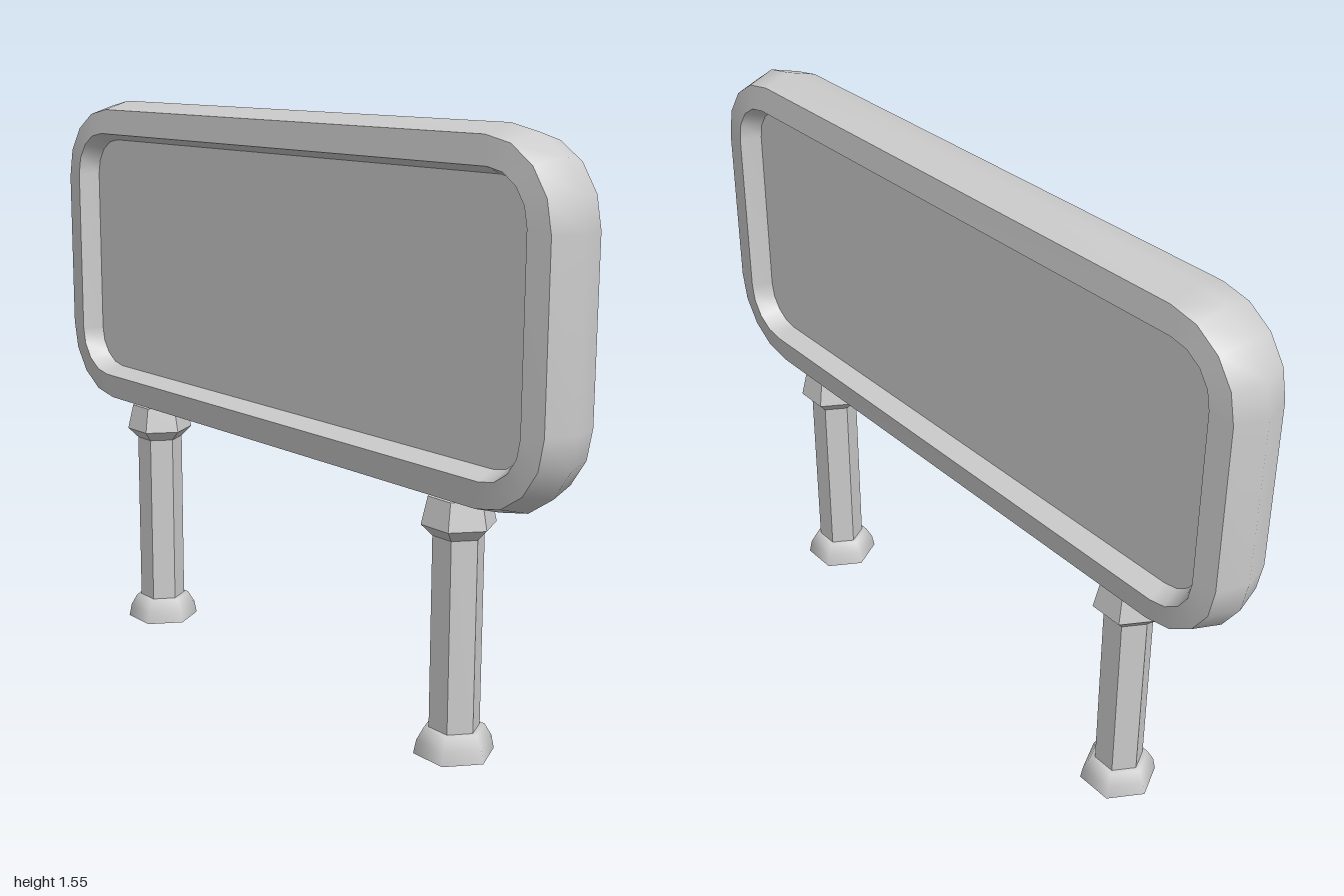
import * as THREE from 'three';

const grey = new THREE.MeshStandardMaterial({ color: 0xcccccc, side: THREE.DoubleSide });
grey.name = 'painted metal';

const CENTER_Y = 1.096;

// Counter-clockwise rounded rectangle, four facets per corner
function ring([hw, hh, r, z]) {
  const points = [];
  for (let corner = 0; corner < 4; corner++) {
    const cx = (corner === 0 || corner === 3 ? 1 : -1) * (hw - r);
    const cy = (corner < 2 ? 1 : -1) * (hh - r);
    for (let i = 0; i <= 4; i++) {
      const a = (corner + i / 4) * Math.PI / 2;
      points.push(new THREE.Vector3(cx + r * Math.cos(a), cy + r * Math.sin(a), z));
    }
  }
  return points;
}

// Smooth band through successive rings
function band(name, sections) {
  const rings = sections.map(ring);
  const n = rings[0].length;
  const index = [];
  for (let j = 0; j < rings.length - 1; j++) {
    for (let i = 0; i < n; i++) {
      const a = j * n + i, b = j * n + (i + 1) % n;
      index.push(a, b, b + n, a, b + n, a + n);
    }
  }
  const geometry = new THREE.BufferGeometry().setFromPoints(rings.flat());
  geometry.setIndex(index);
  geometry.computeVertexNormals();
  return part(name, geometry);
}

function part(name, geometry) {
  const mesh = new THREE.Mesh(geometry, grey);
  mesh.name = name;
  return mesh;
}

// Six-sided turned part with corners pointing along x
function hexTurned(name, profile, flat) {
  let geometry = new THREE.LatheGeometry(profile.map(p => new THREE.Vector2(...p)), 6, Math.PI / 6);
  if (flat) {
    geometry = geometry.toNonIndexed();
    geometry.computeVertexNormals();
  }
  return part(name, geometry);
}

function createBoard() {
  const board = new THREE.Group();
  board.name = 'signBoard';
  board.position.y = CENTER_Y;

  const edge = z => [0.972, 0.427, 0.205, z];
  const lip = z => [0.908, 0.358, 0.125, z];
  const recess = z => [0.882, 0.338, 0.105, z];

  // Ridged outer rim
  board.add(band('outerRim', [edge(-0.08), [1, 0.45, 0.23, 0], edge(0.08)]));

  // Frame face, recess wall and panel, the same on both sides
  for (const turn of [0, Math.PI]) {
    const face = new THREE.Group();
    face.name = turn ? 'backFace' : 'frontFace';
    face.rotation.y = turn;
    face.add(band('frameFace', [edge(0.08), lip(0.088)]));
    face.add(band('recessWall', [lip(0.088), recess(0.035)]));
    const panel = part('panel', new THREE.ShapeGeometry(new THREE.Shape(ring(recess(0)))));
    panel.position.z = 0.035;
    face.add(panel);
    board.add(face);
  }
  return board;
}

function createLeg(side) {
  const leg = new THREE.Group();
  leg.name = side > 0 ? 'leftLeg' : 'rightLeg';
  leg.position.x = side * 0.635;
  leg.add(hexTurned('post', [[0.065, 0.03], [0.065, 0.6]], true));
  leg.add(hexTurned('collar', [[0.064, 0.56], [0.094, 0.59], [0.078, 0.66], [0, 0.66]], true));
  // Hollow foot
  leg.add(hexTurned('foot', [[0.103, 0], [0.096, 0.035], [0.078, 0.066], [0.06, 0.068]], false));
  return leg;
}

export function createModel() {
  const model = new THREE.Group();
  model.name = 'signOnLegs';
  model.add(createBoard(), createLeg(1), createLeg(-1));
  return model;
}
